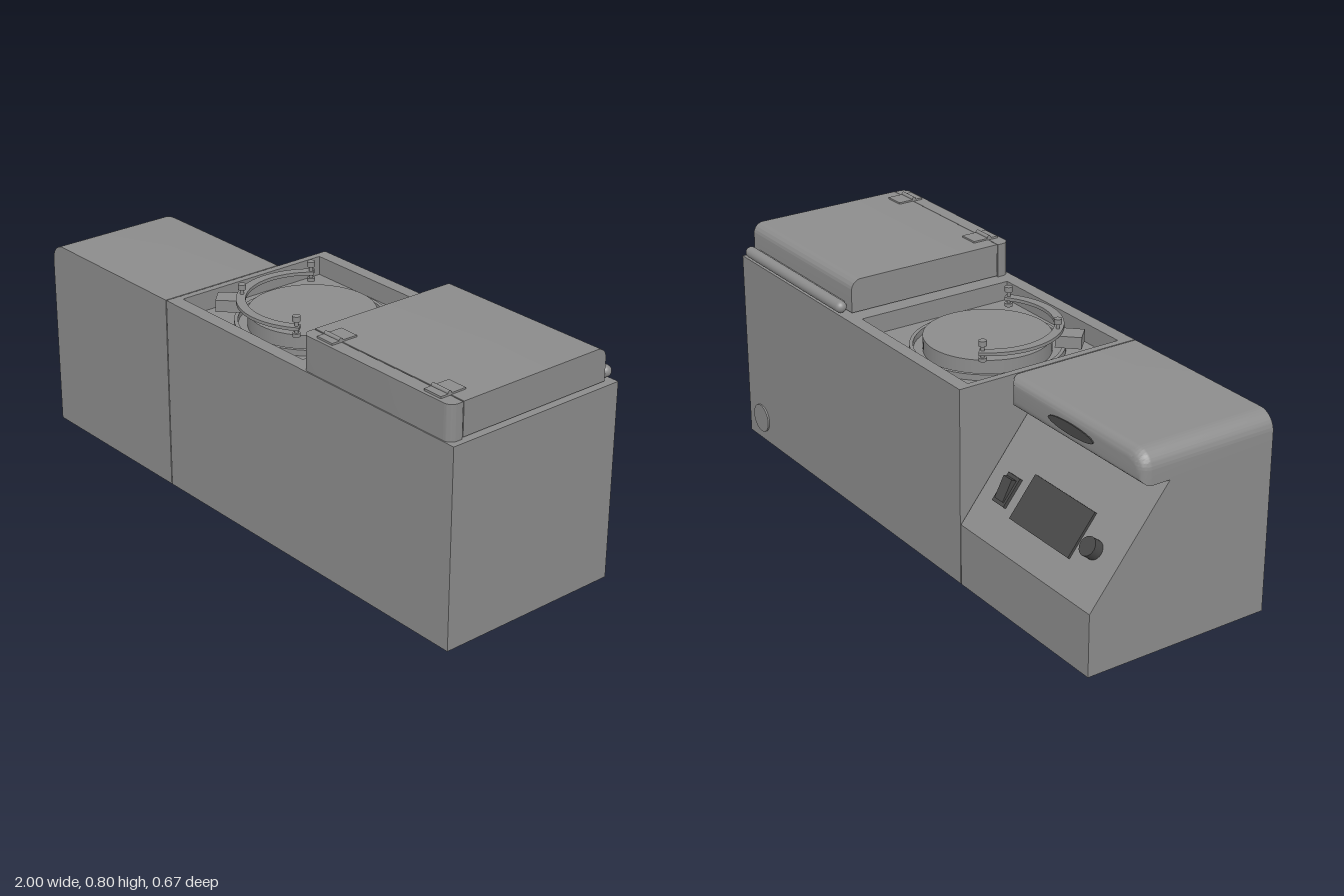
import * as THREE from 'three';
import { toCreasedNormals } from 'three/addons/utils/BufferGeometryUtils.js';

export function createModel() {
  const model = new THREE.Group();
  const grey = new THREE.MeshStandardMaterial({ name: 'greyMetal', color: 0x8c8c8c });
  const dark = new THREE.MeshStandardMaterial({ name: 'darkPlastic', color: 0x484848 });

  function add(name, geo, mat = grey, x = 0, y = 0, z = 0, parent = model) {
    const m = new THREE.Mesh(geo, mat);
    m.name = name;
    m.position.set(x, y, z);
    parent.add(m);
    return m;
  }
  const box = (w, h, d) => new THREE.BoxGeometry(w, h, d);
  const cyl = (r, h, n = 48) => new THREE.CylinderGeometry(r, r, h, n);
  const poly = pts => new THREE.Shape(pts.map(p => new THREE.Vector2(...p)));
  const extrude = (shape, depth, steps = 1) =>
    new THREE.ExtrudeGeometry(shape, { depth, steps, bevelEnabled: false, curveSegments: 24 });
  // shape drawn as (-z, y), extruded along x from x0
  const alongX = (shape, x0, w) => toCreasedNormals(extrude(shape, w).rotateY(Math.PI / 2).translate(x0, 0, 0), 0.5);
  // shape drawn as (x, -z), extruded upward from y0
  const upward = (shape, y0, h) => toCreasedNormals(extrude(shape, h).rotateX(-Math.PI / 2).translate(0, y0, 0), 0.5);

  // Main housing with an open well in its top
  const FLOOR = 0.6, TOP = 0.665;
  const outline = poly([[-0.342, -0.335], [0.998, -0.335], [0.998, 0.328], [-0.342, 0.328]]);
  add('housing', upward(outline, 0, FLOOR));
  const rim = outline.clone();
  rim.holes.push(poly([[-0.318, -0.287], [-0.318, 0.283], [0.285, 0.283], [0.285, -0.287]]));
  add('wellRim', upward(rim, FLOOR, TOP - FLOOR));

  // Sample platform in the well
  const CX = -0.015;
  const circleRing = (outer, inner) => {
    const s = new THREE.Shape().absarc(CX, 0, outer, 0, Math.PI * 2);
    s.holes.push(new THREE.Path().absarc(CX, 0, inner, 0, Math.PI * 2, true));
    return s;
  };
  add('lowerRing', upward(circleRing(0.25, 0.238), FLOOR, 0.02));
  add('turntable', cyl(0.207, 0.05, 64), grey, CX, 0.625, 0);

  // C-shaped arm carrying three posts
  const a0 = 2.42, a1 = 5.42;
  const arc = new THREE.Shape();
  arc.absarc(CX, 0, 0.243, a0, a1, false);
  arc.absarc(CX, 0, 0.212, a1, a0, true);
  add('curvedArm', upward(arc, 0.68, 0.011));
  const bracket = add('armBracket', box(0.07, 0.04, 0.085), grey, -0.21, 0.66, 0.18);
  bracket.rotation.y = -Math.PI / 4;
  for (const [x, z] of [[-0.19, -0.14], [-0.182, 0.153], [0.125, 0.18]]) {
    const post = new THREE.Group();
    post.name = 'clampPost';
    post.position.set(x, 0, z);
    model.add(post);
    add('postStem', cyl(0.006, 0.06, 16), grey, 0, 0.69, 0, post);
    add('postKnob', cyl(0.013, 0.018, 20), grey, 0, 0.716, 0, post);
    add('postFoot', cyl(0.013, 0.012, 20), grey, 0, 0.662, 0, post);
  }

  // Raised lid with a rounded rear top edge
  const lid = new THREE.Shape();
  lid.moveTo(-0.281, 0.67);
  lid.lineTo(0.29, 0.67);
  lid.lineTo(0.29, 0.745);
  lid.absarc(0.253, 0.745, 0.037, 0, Math.PI / 2, false);
  lid.lineTo(-0.281, 0.782);
  add('lid', alongX(lid, 0.335, 0.643));
  const strip = new THREE.Shape();
  strip.moveTo(0.335, -0.284);
  strip.lineTo(0.335, -0.303);
  strip.absarc(0.363, -0.303, 0.028, Math.PI, Math.PI * 1.5, false);
  strip.absarc(0.95, -0.303, 0.028, Math.PI * 1.5, Math.PI * 2, false);
  strip.lineTo(0.978, -0.284);
  add('hingeStrip', upward(strip, TOP, 0.116));
  add('lidGasket', box(0.62, 0.008, 0.54), grey, 0.656, 0.667, 0);
  for (const x of [0.425, 0.89]) {
    add('hingeLeaf', box(0.07, 0.007, 0.095), grey, x, 0.784, 0.272);
    add('hingeBarrel', cyl(0.007, 0.07, 20), grey, x, 0.789, 0.286).rotation.z = Math.PI / 2;
  }

  // Lid handle
  add('handleBar', new THREE.CapsuleGeometry(0.02, 0.59, 8, 24), grey, 0.66, 0.688, -0.315).rotation.z = Math.PI / 2;
  add('handleMount', box(0.56, 0.016, 0.03), grey, 0.66, 0.688, -0.295);

  // Round port on the rear face
  add('rearPort', cyl(0.05, 0.008), grey, 0.91, 0.08, -0.33).rotation.x = Math.PI / 2;

  // Control module with a sloping rear panel
  const X0 = -0.998, W = 0.652;
  add('controlBase', alongX(poly([[-0.335, 0], [0.328, 0], [0.328, 0.21], [0.05, 0.56], [-0.335, 0.56]]), X0, W));

  // Hood over the panel: its rear edge is rounded by drawing the section inward
  const hood = new THREE.Shape();
  hood.moveTo(X0, 0.56);
  hood.lineTo(X0 + W, 0.56);
  hood.lineTo(X0 + W, TOP);
  hood.lineTo(X0 + 0.06, TOP);
  hood.absarc(X0 + 0.06, TOP - 0.06, 0.06, Math.PI / 2, Math.PI, false);
  const N = 9, R = 0.035, mx = X0 + W / 2, my = 0.6125;
  const hoodGeo = extrude(hood, N, N);
  const p = hoodGeo.attributes.position;
  for (let i = 0; i < p.count; i++) {
    const k = Math.round(p.getZ(i));
    const a = Math.min(k / (N - 1), 1) * Math.PI / 2;
    const inset = R * (1 - Math.sin(a));
    const z = k === N ? 0.335 : -0.15 + R * (1 - Math.cos(a));
    p.setXYZ(i, mx + (p.getX(i) - mx) * (1 - inset / (W / 2)), my + (p.getY(i) - my) * (1 - inset / 0.0525), z);
  }
  add('hood', toCreasedNormals(hoodGeo, 0.6));
  const vent = add('hoodVent', cyl(1, 0.006), dark, -0.66, my, -0.151);
  vent.rotation.x = Math.PI / 2;
  vent.scale.set(0.11, 1, 0.018);

  // Controls, laid out on the slope with local z pointing outward
  const panel = new THREE.Group();
  panel.name = 'controlPanel';
  panel.position.set(-0.67, 0.349, -0.218);
  panel.lookAt(-0.67, 0.349 + 0.278, -0.218 - 0.35);
  model.add(panel);
  add('display', box(0.295, 0.155, 0.009), dark, 0, 0, 0.004, panel);
  add('knob', cyl(0.031, 0.035, 24), dark, 0.215, -0.015, 0.017, panel).rotation.x = Math.PI / 2;
  add('switchFrame', box(0.06, 0.1, 0.012), dark, -0.22, -0.01, 0.006, panel);
  add('switchRocker', box(0.042, 0.075, 0.02), dark, -0.22, -0.01, 0.014, panel).rotation.x = 0.2;

  return model;
}
